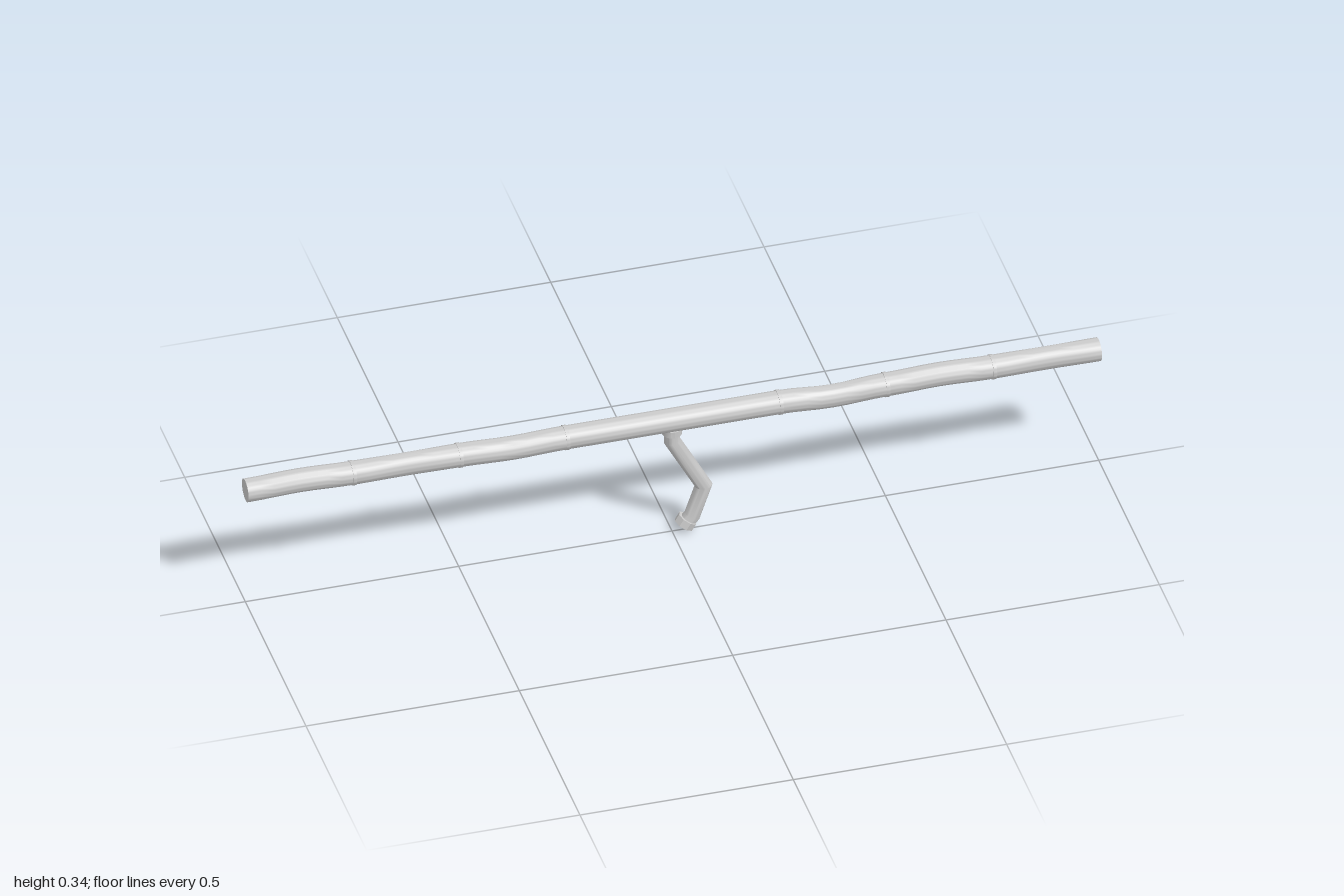
import * as THREE from 'three';
import { toCreasedNormals } from 'three/addons/utils/BufferGeometryUtils.js';

const AXIS_Y = 0.309;
const material = new THREE.MeshStandardMaterial({ color: 0xcccccc });

function add(group, name, geometry) {
  const mesh = new THREE.Mesh(toCreasedNormals(geometry, 0.5), material);
  mesh.name = name;
  group.add(mesh);
}

// Capped round pipe along stations [x, y, radius in plane, radius in z], mitred at bends
function pipe(stations, sides) {
  const pos = [], index = [], n = stations.length;
  const p = stations.map(([x, y]) => new THREE.Vector2(x, y));
  const ring = (i) => {
    const a = p[Math.max(i - 1, 0)], b = p[i], c = p[Math.min(i + 1, n - 1)];
    const d1 = (i ? b.clone().sub(a) : c.clone().sub(b)).normalize();
    const d2 = (i < n - 1 ? c.clone().sub(b) : b.clone().sub(a)).normalize();
    const t = d1.clone().add(d2).normalize();
    const stretch = 1 / t.dot(d1);
    const [x, y, r, rz] = stations[i];
    for (let j = 0; j < sides; j++) {
      const q = (j / sides) * Math.PI * 2;
      const u = Math.cos(q) * r * stretch;
      pos.push(x - t.y * u, y + t.x * u, Math.sin(q) * rz);
    }
  };
  for (let i = 0; i < n; i++) ring(i);
  for (let i = 0; i < n - 1; i++) {
    for (let j = 0; j < sides; j++) {
      const k = (j + 1) % sides;
      const a = i * sides + j, b = i * sides + k;
      index.push(a, b, b + sides, a, b + sides, a + sides);
    }
  }
  // End caps
  const s = n * sides, last = s - sides;
  pos.push(p[0].x, p[0].y, 0, p[n - 1].x, p[n - 1].y, 0);
  for (let j = 0; j < sides; j++) {
    const k = (j + 1) % sides;
    index.push(s, k, j, s + 1, last + j, last + k);
  }
  const g = new THREE.BufferGeometry();
  g.setAttribute('position', new THREE.Float32BufferAttribute(pos, 3));
  g.setIndex(index);
  return g;
}

export function createModel() {
  const model = new THREE.Group();
  model.name = 'gutterWithDownpipe';

  // Horizontal sections: start, end, middle offset in y, middle radius in z
  const sections = [
    [-1, -0.75, 0.004, 0.028], [-0.75, -0.5, 0, 0.025], [-0.5, -0.25, -0.004, 0.028],
    [-0.25, 0.25, 0, 0.028],
    [0.25, 0.5, -0.007, 0.025], [0.5, 0.75, 0.004, 0.028], [0.75, 1, 0, 0.025],
  ];
  sections.forEach(([x0, x1, sag, rz], s) => {
    const stations = [];
    for (let i = 0; i <= 8; i++) {
      const t = i / 8;
      const w = 0.5 - 0.5 * Math.cos(t * Math.PI * 2);
      stations.push([x0 + (x1 - x0) * t, AXIS_Y + sag * w, 0.027, 0.028 + (rz - 0.028) * w]);
    }
    add(model, 'pipeSection' + (s + 1), pipe(stations, 32));
  });

  // Thin bands over the joints
  for (const x of [-0.75, -0.5, -0.25, 0.25, 0.5, 0.75]) {
    add(model, 'jointBand', pipe([[x - 0.004, AXIS_Y, 0.0285, 0.0295], [x + 0.004, AXIS_Y, 0.0285, 0.0295]], 32));
  }

  // Bent downpipe with collars at both ends
  const r = 0.0185;
  const path = [[0, 0.3], [0, 0.252], [0.074, 0.115], [0.047, 0.036], [0.03, 0.016]];
  add(model, 'downpipe', pipe(path.map(([x, y]) => [x, y, r, r]), 28));
  add(model, 'topCollar', pipe([[0, 0.289, 0.023, 0.023], [0, 0.273, 0.023, 0.023]], 16));
  add(model, 'outletCollar', pipe([[0.037, 0.029, 0.024, 0.024], [0.027, 0.0135, 0.024, 0.024]], 8));
  return model;
}
